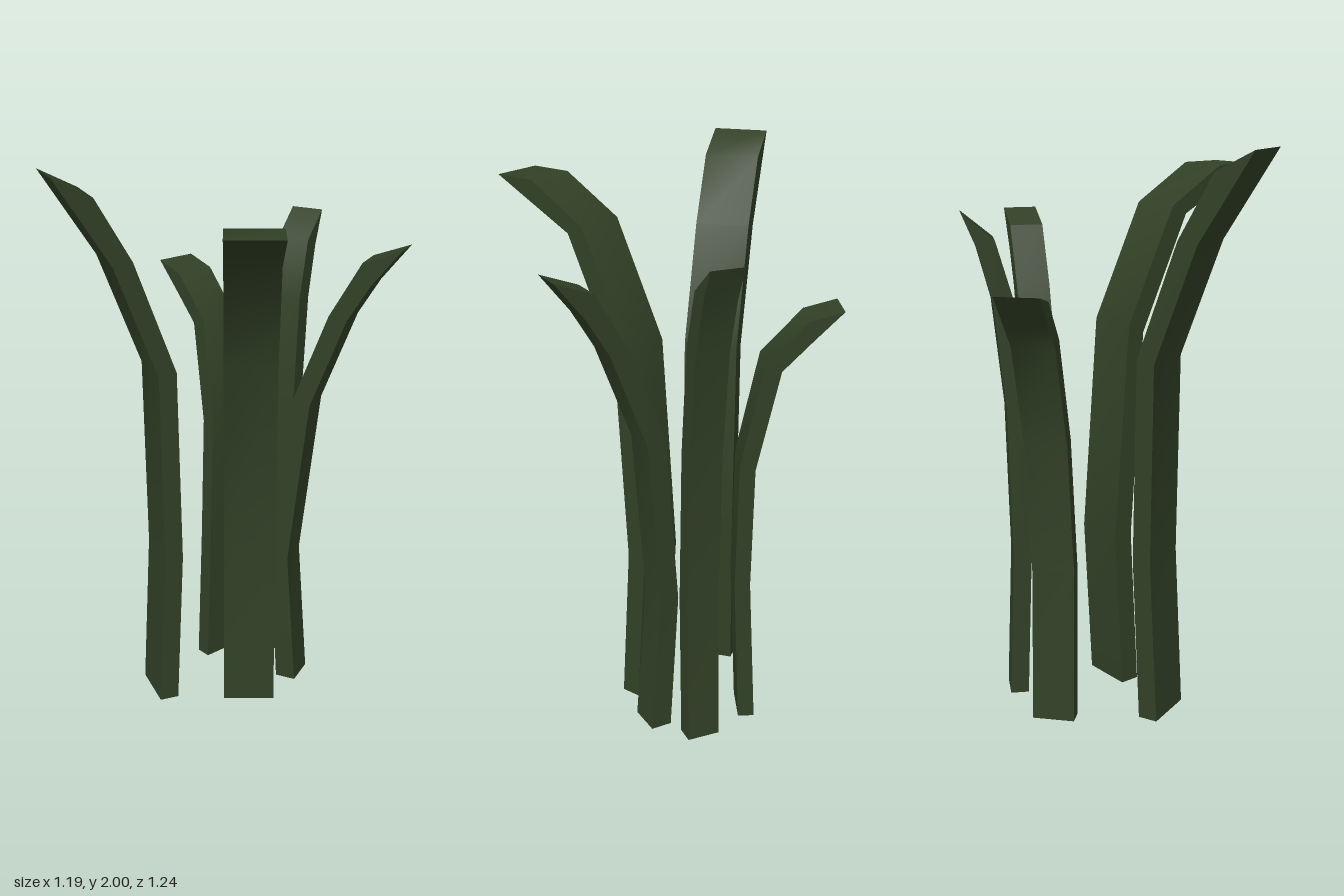
import * as THREE from 'three';
import { toCreasedNormals } from 'three/addons/utils/BufferGeometryUtils.js';

const leafGreen = new THREE.MeshStandardMaterial({ color: 0x314026 });
leafGreen.name = 'leaf green';

// One curving blade. Stations run from root to tip:
// [inner reach, inner height, outer reach, outer height, sideways shift]
// w0..w1 is the span across the blade; dir is the outward [x, z] direction.
function makeLeaf(name, dir, w0, w1, stations) {
  const rings = stations.map(([ui, yi, uo, yo, s = 0]) => [
    new THREE.Vector3(ui, yi, w0 + s),
    new THREE.Vector3(uo, yo, w0 + s),
    new THREE.Vector3(uo, yo, w1 + s),
    new THREE.Vector3(ui, yi, w1 + s),
  ]);
  const positions = [];
  const tri = (a, b, c) => {
    // skip collapsed triangles at the sharp tip
    if (new THREE.Triangle(a, b, c).getArea() < 1e-7) return;
    for (const p of [a, b, c]) positions.push(p.x, p.y, p.z);
  };
  const root = rings[0];
  tri(root[0], root[1], root[2]);
  tri(root[0], root[2], root[3]);
  for (let i = 0; i < rings.length - 1; i++) {
    for (let k = 0; k < 4; k++) {
      const n = (k + 1) % 4;
      const a = rings[i][k], b = rings[i][n], c = rings[i + 1][n], d = rings[i + 1][k];
      tri(a, d, b);
      tri(b, d, c);
    }
  }
  const geometry = new THREE.BufferGeometry();
  geometry.setAttribute('position', new THREE.Float32BufferAttribute(positions, 3));
  const mesh = new THREE.Mesh(toCreasedNormals(geometry, 0.65), leafGreen);
  mesh.name = name;
  mesh.rotation.y = Math.atan2(-dir[1], dir[0]);
  return mesh;
}

export function createModel() {
  const plant = new THREE.Group();
  plant.name = 'leafCluster';
  plant.add(
    // tallest blade, leaning to the right side
    makeLeaf('rightLeaf', [-1, 0], 0.015, 0.205, [
      [0.205, 0.015, 0.275, 0.015],
      [0.178, 0.6, 0.245, 0.6],
      [0.19, 1.31, 0.255, 1.3],
      [0.335, 1.71, 0.405, 1.7],
      [0.46, 1.93, 0.5, 1.85],
      [0.595, 2.0, 0.595, 2.0],
    ]),
    // widest blade, arching forwards
    makeLeaf('frontLeaf', [-0.364, 0.931], -0.164, 0.022, [
      [0.004, 0.015, 0.075, 0.015],
      [-0.029, 0.6, 0.043, 0.6],
      [0.033, 1.37, 0.097, 1.34],
      [0.228, 1.77, 0.29, 1.74],
      [0.45, 1.9, 0.45, 1.822],
      [0.602, 1.9, 0.602, 1.9],
    ]),
    // shortest blade, arching backwards
    makeLeaf('backLeaf', [-0.33, -0.94], 0.1, 0.249, [
      [0.252, 0, 0.31, 0],
      [0.228, 0.55, 0.283, 0.55],
      [0.235, 1.02, 0.288, 1.0, 0.018],
      [0.308, 1.38, 0.363, 1.36, 0.037],
      [0.447, 1.53, 0.46, 1.46, 0.037],
      [0.56, 1.56, 0.56, 1.56, 0.037],
    ]),
    // narrow blade at the back left
    makeLeaf('backLeftLeaf', [0.775, -0.633], -0.034, 0.084, [
      [0.338, 0.015, 0.403, 0.015],
      [0.318, 0.55, 0.382, 0.55],
      [0.328, 1.1, 0.394, 1.09],
      [0.363, 1.48, 0.433, 1.47],
      [0.421, 1.68, 0.481, 1.65],
      [0.531, 1.77, 0.531, 1.77],
    ]),
    // narrow blade at the front left
    makeLeaf('frontLeftLeaf', [0.7, 0.716], -0.274, -0.155, [
      [0.127, 0.015, 0.203, 0.015],
      [0.098, 0.53, 0.165, 0.53],
      [0.162, 1.15, 0.228, 1.14, -0.027],
      [0.29, 1.48, 0.356, 1.47, -0.027],
      [0.405, 1.68, 0.435, 1.6, -0.027],
      [0.538, 1.73, 0.538, 1.73, -0.027],
    ]),
  );
  return plant;
}
